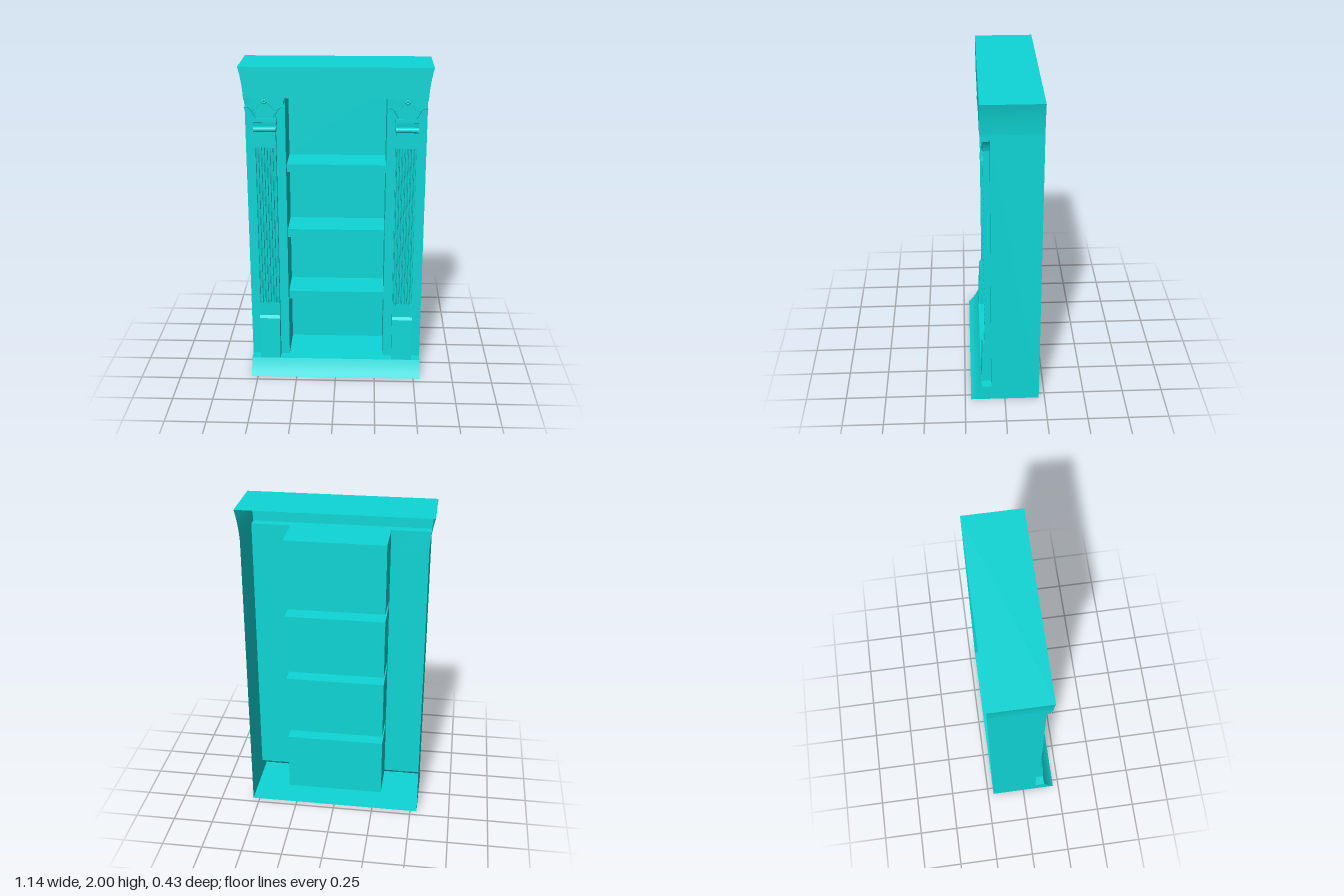
import * as THREE from 'three';

const paint = new THREE.MeshStandardMaterial({ color: 0x0fd6d6, side: THREE.DoubleSide });

function add(parent, name, geometry) {
  const mesh = new THREE.Mesh(geometry, paint);
  mesh.name = name;
  parent.add(mesh);
  return mesh;
}

// Box given by its limits on each axis
function block(parent, name, x0, x1, y0, y1, z0, z1) {
  const g = new THREE.BoxGeometry(x1 - x0, y1 - y0, z1 - z0);
  g.translate((x0 + x1) / 2, (y0 + y1) / 2, (z0 + z1) / 2);
  return add(parent, name, g);
}

// Open surface ruled between two rows of points
function sheet(parent, name, rowA, rowB) {
  const pos = [], index = [];
  rowA.forEach((a, i) => {
    pos.push(...a, ...rowB[i]);
    if (i) {
      const k = 2 * i;
      index.push(k - 2, k - 1, k, k - 1, k + 1, k);
    }
  });
  const g = new THREE.BufferGeometry();
  g.setAttribute('position', new THREE.Float32BufferAttribute(pos, 3));
  g.setIndex(index);
  g.computeVertexNormals();
  return add(parent, name, g);
}

// Flat panels: facing z, facing x, facing y
const panelZ = (p, n, x0, x1, y0, y1, z) => sheet(p, n, [[x0, y1, z], [x1, y1, z]], [[x0, y0, z], [x1, y0, z]]);
const panelX = (p, n, x, y0, y1, z0, z1) => sheet(p, n, [[x, y1, z1], [x, y1, z0]], [[x, y0, z1], [x, y0, z0]]);
const panelY = (p, n, x0, x1, y, z0, z1) => sheet(p, n, [[x0, y, z0], [x1, y, z0]], [[x0, y, z1], [x1, y, z1]]);

const BACK = -0.213, FACE = 0.085, HALF = 0.542, OPEN = 0.303;
const BASE = 0.1, HEAD = 1.815, FRIEZE = 0.142;

// Points of a gentle concave curve
const curve = (a, c, b, n = 10) =>
  new THREE.QuadraticBezierCurve(new THREE.Vector2(...a), new THREE.Vector2(...c), new THREE.Vector2(...b)).getPoints(n);

const skirt = curve([0.213, 0], [0.178, 0.03], [0.147, BASE]);          // z, y
const flare = curve([HALF, HEAD], [0.548, 1.92], [0.57, 2]);             // x, y

function buildShell(root) {
  const shell = new THREE.Group();
  shell.name = 'cabinetShell';
  root.add(shell);

  for (const s of [-1, 1]) {
    // Side wall with the skirt outline at its foot
    const outline = new THREE.Shape([
      new THREE.Vector2(BACK, 0), ...skirt,
      new THREE.Vector2(FACE, BASE), new THREE.Vector2(FACE, HEAD), new THREE.Vector2(BACK, HEAD),
    ]);
    const wall = new THREE.ShapeGeometry(outline);
    wall.rotateY(-Math.PI / 2);
    wall.translate(s * HALF, 0, 0);
    if (s > 0) {
      // Turn the left wall to face outward
      const ix = wall.index.array;
      for (let i = 0; i < ix.length; i += 3) [ix[i], ix[i + 1]] = [ix[i + 1], ix[i]];
      wall.computeVertexNormals();
    }
    add(shell, 'sideWall', wall);
    const [a, b] = s > 0 ? [OPEN, HALF] : [-HALF, -OPEN];
    panelZ(shell, 'frontStile', a, b, BASE, HEAD, FACE);
    panelY(shell, 'skirtLedge', a, b, BASE, FACE, 0.147);
    // Flared end of the cornice
    const rows = [BACK, FRIEZE].map(z => flare.map(p => [s * p.x, p.y, z]));
    if (s > 0) rows.reverse();
    sheet(shell, 'corniceEnd', rows[1], rows[0]);
  }

  // Cornice front, top and underside
  const front = new THREE.Shape([
    ...flare, ...flare.slice().reverse().map(p => new THREE.Vector2(-p.x, p.y)),
  ]);
  const frontGeometry = new THREE.ShapeGeometry(front);
  frontGeometry.translate(0, 0, FRIEZE);
  add(shell, 'corniceFront', frontGeometry);
  panelY(shell, 'corniceTop', -0.57, 0.57, 2, BACK, FRIEZE);
  panelY(shell, 'corniceUnderside', -HALF, HALF, HEAD, FACE, FRIEZE);

  // Flared skirt and bottom
  sheet(shell, 'skirt',
    skirt.map(p => [HALF, p.y, p.x]), skirt.map(p => [-HALF, p.y, p.x]));
  sheet(shell, 'bottom', [[-HALF, 0, 0.213], [HALF, 0, 0.213]], [[-HALF, 0, BACK], [HALF, 0, BACK]]);
}

function buildNiches(root) {
  const niches = new THREE.Group();
  niches.name = 'shelving';
  root.add(niches);
  const rear = -0.173, lip = 0.04;
  const shelves = [[0.477, 0.53], [0.905, 0.957], [1.332, 1.382]];
  const floors = [BASE, ...shelves.map(s => s[1])];
  const ceilings = [...shelves.map(s => s[0]), HEAD];

  // Each niche is an open box; shelves are hollow between them
  floors.forEach((y0, i) => {
    const y1 = ceilings[i];
    panelZ(niches, 'nicheBack', -OPEN, OPEN, y0, y1, rear);
    panelY(niches, 'nicheFloor', -OPEN, OPEN, y0, rear, i ? lip : 0.147);
    panelY(niches, 'nicheCeiling', -OPEN, OPEN, y1, rear, i < 3 ? lip : FACE);
    for (const s of [-1, 1]) panelX(niches, 'nicheSide', s * OPEN, y0, y1, rear, lip);
  });
  for (const [y0, y1] of shelves) panelZ(niches, 'shelfEdge', -OPEN, OPEN, y0, y1, lip);
  for (const s of [-1, 1]) panelX(niches, 'openingJamb', s * OPEN, BASE, HEAD, lip, FACE);
}

// Extrude a plan outline (x, z) upward
function rise(parent, name, points, y0, y1) {
  const shape = new THREE.Shape(points.map(([x, z]) => new THREE.Vector2(x, -z)));
  const g = new THREE.ExtrudeGeometry(shape, { depth: y1 - y0, bevelEnabled: false });
  g.rotateX(-Math.PI / 2);
  g.translate(0, y0, 0);
  return add(parent, name, g);
}

// Extrude a side outline (z, y) across a width
function across(parent, name, points, half) {
  const shape = new THREE.Shape(points.map(([z, y]) => new THREE.Vector2(-z, y)));
  const g = new THREE.ExtrudeGeometry(shape, { depth: 2 * half, bevelEnabled: false });
  g.rotateY(Math.PI / 2);
  g.translate(-half, 0, 0);
  return add(parent, name, g);
}

function buildPilaster(root, x) {
  const p = new THREE.Group();
  p.name = 'pilaster';
  p.position.x = x;
  root.add(p);
  const w = 0.064, z = 0.122;

  // Tapered foot and plain ends of the shaft
  across(p, 'pilasterFoot', [[FACE, BASE], [0.146, BASE], [0.137, 0.38], [z, 0.395], [FACE, 0.395]], w);
  block(p, 'shaftLower', -w, w, 0.395, 0.48, FACE, z);
  block(p, 'shaftUpper', -w, w, 1.51, 1.61, FACE, z);

  // Fluted shaft: round grooves across the front
  const flutes = 7, pitch = 0.0172, r = 0.0072;
  const plan = [[-w, FACE], [-w, z]];
  for (let i = 0; i < flutes; i++) {
    const c = (i - (flutes - 1) / 2) * pitch;
    for (let k = 0; k <= 6; k++) {
      const a = Math.PI * k / 6;
      plan.push([c - r * Math.cos(a), z - 1.5 * r * Math.sin(a)]);
    }
  }
  plan.push([w, z], [w, FACE]);
  rise(p, 'flutedShaft', plan, 0.48, 1.51);

  // Neck mouldings
  const bead = [];
  for (let k = 0; k <= 8; k++) {
    const a = -Math.PI / 2 + Math.PI * k / 8;
    bead.push([z + 0.016 * Math.cos(a), 1.624 + 0.016 * Math.sin(a)]);
  }
  across(p, 'neckBead', [[FACE, 1.608], ...bead, [FACE, 1.64]], 0.067);
  across(p, 'neckBand', [[FACE, 1.64], [0.118, 1.64], [0.121, 1.665], [0.128, 1.668], [0.128, 1.692], [FACE, 1.692]], 0.069);

  // Bell of the capital, flaring to the corners
  const bell = new THREE.Shape();
  bell.moveTo(-0.062, 1.69);
  bell.lineTo(0.062, 1.69);
  bell.quadraticCurveTo(0.075, 1.75, 0.105, 1.775);
  bell.lineTo(-0.105, 1.775);
  bell.quadraticCurveTo(-0.075, 1.75, -0.062, 1.69);
  const bellGeometry = new THREE.ExtrudeGeometry(bell, { depth: 0.037, bevelEnabled: false, curveSegments: 8 });
  bellGeometry.translate(0, 0, FACE);
  add(p, 'capitalBell', bellGeometry);

  // Abacus with a hollowed front
  const hollow = half => [[-half, FACE], ...curve([-half, 0.138], [0, 0.112], [half, 0.138]).map(v => [v.x, v.y]), [half, FACE]];
  rise(p, 'abacus', hollow(0.114), 1.775, 1.8);
  rise(p, 'abacusCap', hollow(0.119), 1.8, HEAD);

  // Curling bands at the corners
  for (const s of [-1, 1]) {
    const path = new THREE.CatmullRomCurve3([
      [0.052, 1.695, 0.123], [0.066, 1.722, 0.126], [0.085, 1.752, 0.13],
      [0.106, 1.763, 0.133], [0.117, 1.755, 0.133],
    ].map(([a, b, c]) => new THREE.Vector3(s * a, b, c)));
    add(p, 'cornerScroll', new THREE.TubeGeometry(path, 14, 0.005, 6));
    const inner = new THREE.CatmullRomCurve3([
      [0.03, 1.775, 0.123], [0.05, 1.75, 0.124], [0.072, 1.742, 0.125],
    ].map(([a, b, c]) => new THREE.Vector3(s * a, b, c)));
    add(p, 'innerScroll', new THREE.TubeGeometry(inner, 8, 0.003, 6));
  }

  // Small flower at the centre of the abacus
  for (let k = 0; k < 6; k++) {
    const a = k * Math.PI / 3;
    const petal = new THREE.SphereGeometry(0.008, 8, 6);
    petal.translate(0.011 * Math.cos(a), 1.792 + 0.009 * Math.sin(a), 0.126);
    add(p, 'flowerPetal', petal);
  }
}

export function createModel() {
  const root = new THREE.Group();
  root.name = 'bookcase';
  buildShell(root);
  buildNiches(root);
  for (const s of [-1, 1]) buildPilaster(root, s * 0.422);
  return root;
}
